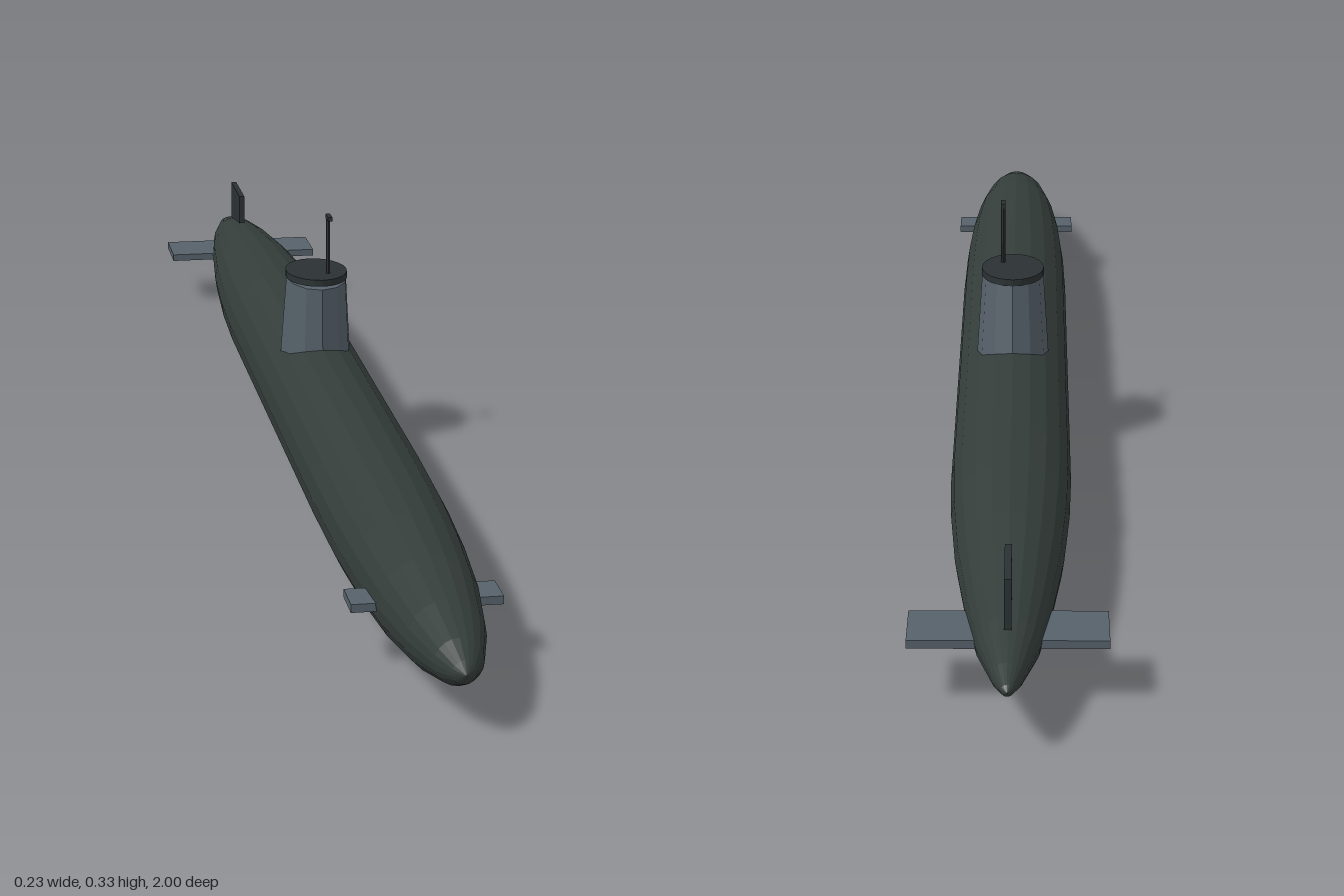
import * as THREE from 'three';

const material = (name, color) => {
  const m = new THREE.MeshStandardMaterial({ color, flatShading: true });
  m.name = name;
  return m;
};

export function createModel() {
  const model = new THREE.Group();
  model.name = 'submarine';
  const hullGreen = material('hullGreen', 0x343d3a);
  const steelGrey = material('steelGrey', 0x56616a);
  const darkGrey = material('darkGrey', 0x2b3133);

  const add = (name, geometry, mat, x, y, z) => {
    const mesh = new THREE.Mesh(geometry, mat);
    mesh.name = name;
    mesh.position.set(x, y, z);
    model.add(mesh);
    return mesh;
  };

  // Hull: profile of [radius, z] from tail to bow, turned about z
  const profile = [
    [0, -1], [0.007, -0.993], [0.018, -0.96], [0.036, -0.88], [0.05, -0.78],
    [0.064, -0.64], [0.072, -0.5], [0.075, -0.38], [0.075, 0.4], [0.073, 0.55],
    [0.068, 0.67], [0.059, 0.79], [0.045, 0.89], [0.028, 0.96], [0.014, 0.99], [0, 1],
  ].map(([r, z]) => new THREE.Vector2(r, z));
  const hull = new THREE.LatheGeometry(profile, 20);
  hull.rotateX(Math.PI / 2);
  add('hull', hull, hullGreen, 0, 0.075, 0);

  // Sail: tapered oval tower leaning slightly forward
  const sail = new THREE.CylinderGeometry(0.041, 0.05, 0.14, 12);
  sail.scale(1, 1, 1.4);
  sail.rotateX(0.08);
  add('sail', sail, steelGrey, 0, 0.169, -0.039);
  const cap = new THREE.CylinderGeometry(0.0415, 0.0415, 0.009, 24);
  cap.scale(1, 1, 1.4);
  add('sailCap', cap, darkGrey, 0, 0.2435, -0.034);

  // Periscope: mast with a short forward head
  add('periscopeMast', new THREE.CylinderGeometry(0.003, 0.003, 0.085, 8), darkGrey, 0.013, 0.2875, -0.012);
  add('periscopeHead', new THREE.BoxGeometry(0.006, 0.006, 0.02), darkGrey, 0.013, 0.327, -0.005);

  // Diving planes on both sides, reaching into the hull
  for (const side of [1, -1]) {
    const label = side > 0 ? 'left' : 'right';
    add(label + 'BowPlane', new THREE.BoxGeometry(0.048, 0.01, 0.05), steelGrey, side * 0.064, 0.072, 0.755);
    add(label + 'SternPlane', new THREE.BoxGeometry(0.088, 0.01, 0.082), steelGrey, side * 0.069, 0.072, -0.827);
  }

  // Rudder on top of the tail
  add('rudder', new THREE.BoxGeometry(0.008, 0.075, 0.1), darkGrey, 0, 0.1275, -0.853);

  return model;
}
